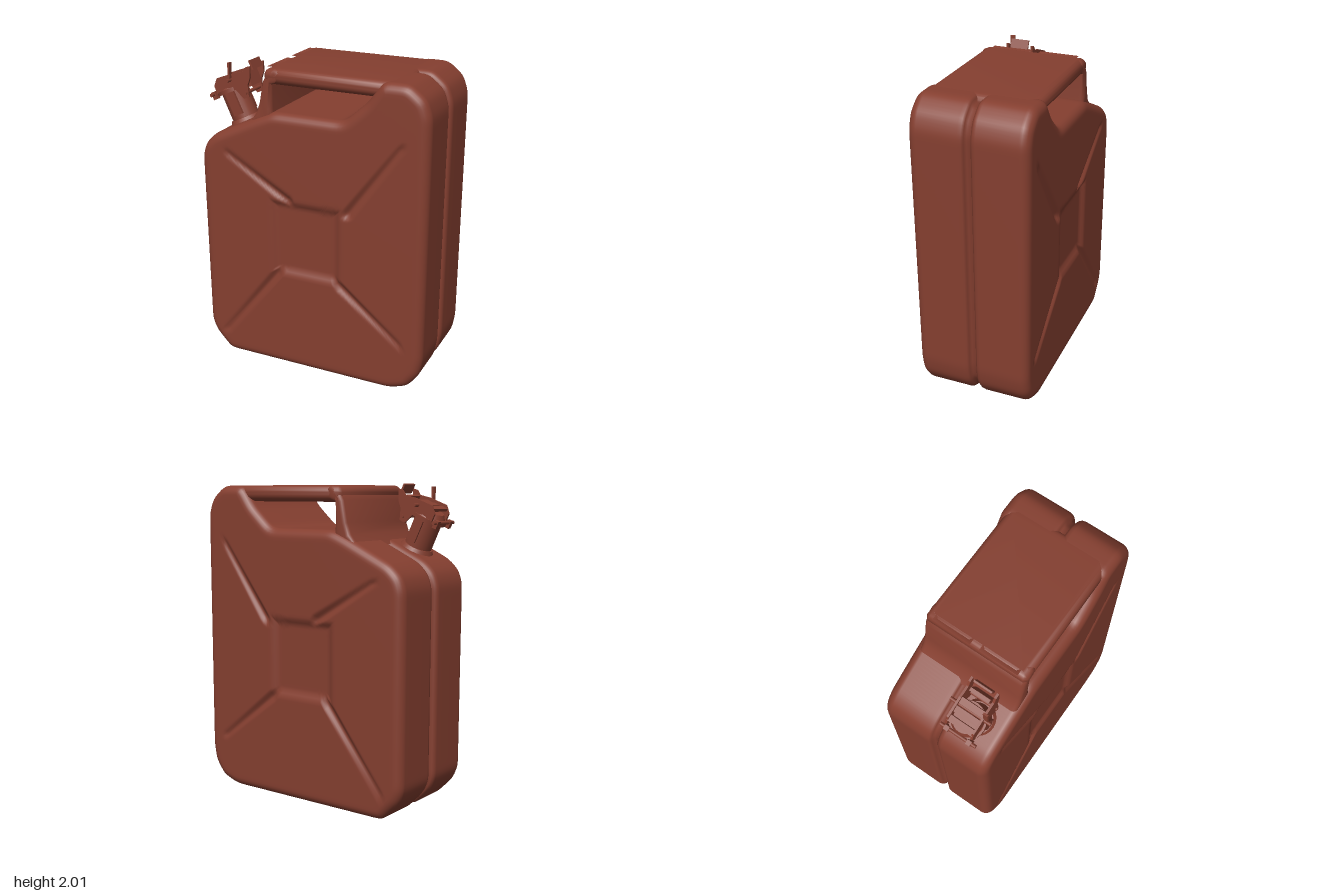
import * as THREE from 'three';
import { toCreasedNormals } from 'three/addons/utils/BufferGeometryUtils.js';

const CENTRE = new THREE.Vector2(0, 0.93);
const shapeOf = (pts) => new THREE.Shape(pts.map(([x, y]) => new THREE.Vector2(x, y)));

// Side profile of the can, counter-clockwise
const PROFILE = [
  [-0.62, 0], [0.55, 0], [0.67, 0.04], [0.745, 0.14], [0.765, 0.25], [0.765, 1.82], [0.73, 1.92], [0.63, 2],
  [0.46, 2], [0.37, 1.87], [0.22, 1.735], [-0.25, 1.735], [-0.36, 1.69], [-0.67, 1.545], [-0.74, 1.48],
  [-0.768, 1.4], [-0.768, 0.2], [-0.735, 0.12],
];

// Pressed channels running from the centre panel to the corners
const CHANNELS = [
  [-0.14, 1.18, -0.57, 1.44], [0.26, 1.16, 0.6, 1.63], [-0.22, 0.68, -0.63, 0.16], [0.2, 0.67, 0.62, 0.34],
].map(([ax, ay, bx, by]) => [new THREE.Vector2(ax, ay), new THREE.Vector2(bx, by)]);

function pressDepth(p) {
  const qx = Math.abs(p.x + 0.03) - 0.25, qy = Math.abs(p.y - 0.925) - 0.26;
  let depth = 0.024 * (1 - THREE.MathUtils.smoothstep(Math.max(qx, qy), -0.055, 0));
  for (const [a, b] of CHANNELS) {
    const d = b.clone().sub(a);
    const t = THREE.MathUtils.clamp(p.clone().sub(a).dot(d) / d.lengthSq(), 0, 1);
    const dist = p.distanceTo(a.clone().addScaledVector(d, t));
    const k = 1 - THREE.MathUtils.smoothstep(dist, 0, 0.045 - 0.015 * t);
    depth = Math.max(depth, (0.024 - 0.012 * t) * k);
  }
  return depth;
}

// Evenly spaced outline points with softened corners
function outline(count) {
  const path = new THREE.CurvePath();
  PROFILE.forEach((p, i) => path.add(new THREE.LineCurve(
    new THREE.Vector2(...p), new THREE.Vector2(...PROFILE[(i + 1) % PROFILE.length]))));
  let pts = Array.from({ length: count }, (_, i) => path.getPoint(i / count));
  for (let n = 0; n < 3; n++) {
    pts = pts.map((p, i) => p.clone().multiplyScalar(2)
      .add(pts[(i + 1) % count]).add(pts[(i + count - 1) % count]).multiplyScalar(0.25));
  }
  return pts;
}

// Pressed side panels, rounded rims and the seam channel in one skin
function bodyGeometry() {
  const N = 300, RADIAL = 40, R = 0.06, HALF = 0.37;
  const pts = outline(N);
  const normals = pts.map((p, i) => {
    const d = pts[(i + 1) % N].clone().sub(pts[(i + N - 1) % N]).normalize();
    return new THREE.Vector2(d.y, -d.x);
  });
  const half = [];
  for (let j = 0; j <= RADIAL; j++) half.push({ t: j / RADIAL, inset: R, z: HALF, panel: true });
  for (let j = 1; j <= 6; j++) {
    const a = j / 6 * Math.PI / 2;
    half.push({ t: 1, inset: R * (1 - Math.sin(a)), z: HALF - R + R * Math.cos(a) });
  }
  for (const [inset, z] of [[0, 0.055], [0.005, 0.035], [0.016, 0.022], [0.042, 0.015]]) {
    half.push({ t: 1, inset, z, seam: true });
  }
  const rows = [...half, ...half.map((r) => ({ ...r, z: -r.z })).reverse()];
  const pos = [], index = [];
  rows.forEach((r, j) => {
    for (let i = 0; i < N; i++) {
      const noSeam = r.seam && pts[i].y > 1.67 && pts[i].x > -0.4 && pts[i].x < 0.5;
      const p = pts[i].clone().addScaledVector(normals[i], noSeam ? 0 : -r.inset);
      p.sub(CENTRE).multiplyScalar(r.t).add(CENTRE);
      pos.push(p.x, p.y, r.panel ? r.z - Math.sign(r.z) * pressDepth(p) : r.z);
      if (j < rows.length - 1) {
        const a = j * N + i, b = j * N + (i + 1) % N;
        index.push(a, a + N, b, b, a + N, b + N);
      }
    }
  });
  const geo = new THREE.BufferGeometry();
  geo.setAttribute('position', new THREE.Float32BufferAttribute(pos, 3));
  geo.setIndex(index);
  geo.computeVertexNormals();
  return geo;
}

// Extrusion centred on its depth, with a rounded edge kept inside the shape
function slab(shape, thickness, bevel) {
  const geo = new THREE.ExtrudeGeometry(shape, {
    depth: thickness - 2 * bevel, bevelEnabled: bevel > 0, bevelThickness: bevel,
    bevelSize: bevel, bevelOffset: -bevel, bevelSegments: 5,
  });
  geo.translate(0, 0, bevel - thickness / 2);
  return bevel > 0 ? toCreasedNormals(geo, 0.9) : geo;
}

export function createModel() {
  const paint = new THREE.MeshStandardMaterial({ color: 0x853f30 });
  paint.name = 'rust red paint';
  const root = new THREE.Group();
  root.name = 'fuelCan';
  const add = (parent, name, geo, x = 0, y = 0, z = 0) => {
    const mesh = new THREE.Mesh(geo, paint);
    mesh.name = name;
    mesh.position.set(x, y, z);
    parent.add(mesh);
    return mesh;
  };

  add(root, 'body', bodyGeometry());

  // Three grip bars: one rounded plate with two long openings
  const grip = shapeOf([[-0.31, -0.32], [-0.29, -0.34], [0.5, -0.34], [0.56, -0.3],
    [0.56, 0.3], [0.5, 0.34], [-0.29, 0.34], [-0.31, 0.32]]);
  for (const s of [1, -1]) {
    grip.holes.push(new THREE.Path([[-0.265, 0.075], [-0.265, 0.24], [0.22, 0.24], [0.29, 0.22], [0.33, 0.185],
      [0.33, 0.135], [0.29, 0.095], [0.22, 0.075]].map(([x, y]) => new THREE.Vector2(x, s * y))));
  }
  add(root, 'handleBars', slab(grip, 0.1, 0.045), 0, 1.95, 0).rotation.x = -Math.PI / 2;

  // Wall joining the bars to the shoulder
  const leg = shapeOf([[-0.25, 1.64], [-0.262, 1.75], [-0.262, 1.9], [-0.2, 1.92], [-0.2, 1.985], [-0.24, 2],
    [-0.29, 1.975], [-0.325, 1.91], [-0.35, 1.78], [-0.375, 1.71], [-0.43, 1.64]]);
  add(root, 'handleLeg', slab(leg, 0.68, 0.03));

  // Tilted filler neck with its clamp cap
  const spout = new THREE.Group();
  spout.name = 'spout';
  spout.position.set(-0.53, 1.61, 0.17);
  spout.rotation.z = 0.434;
  root.add(spout);
  add(spout, 'neck', new THREE.CylinderGeometry(0.085, 0.088, 0.27, 24), 0, 0.075, 0);
  add(spout, 'neckCollar', new THREE.CylinderGeometry(0.095, 0.115, 0.035, 24), 0, 0.005, 0);
  add(spout, 'lidRim', new THREE.CylinderGeometry(0.11, 0.11, 0.025, 24), 0, 0.212, 0);
  add(spout, 'lid', new THREE.CylinderGeometry(0.075, 0.1, 0.04, 24), 0, 0.24, 0);

  const cheek = shapeOf([[-0.07, 0.22], [0.07, 0.2], [0.1, 0.13], [0.14, 0.13], [0.165, 0.2], [0.2, 0.235],
    [0.23, 0.3], [0.2, 0.305], [0.17, 0.285], [0.1, 0.3], [-0.03, 0.31], [-0.07, 0.27]]);
  for (const s of [1, -1]) {
    add(spout, 'clampCheek', slab(cheek, 0.014, 0), 0, 0, s * 0.085);
    add(spout, 'latchStrap', new THREE.BoxGeometry(0.065, 0.15, 0.016), 0.015, 0.125, s * 0.086);
    add(spout, 'hingeLug', new THREE.BoxGeometry(0.03, 0.05, 0.03), -0.1, 0.215, s * 0.075);
  }
  for (const [u, v] of [[-0.03, 0.285], [0.03, 0.28], [0.085, 0.275]]) {
    add(spout, 'clampSlat', new THREE.BoxGeometry(0.04, 0.018, 0.17), u, v, 0);
  }
  add(spout, 'leverPlate', new THREE.BoxGeometry(0.022, 0.1, 0.13), 0.165, 0.235, 0);
  for (const [u, v, len] of [[-0.1, 0.225, 0.24], [0.06, 0.27, 0.27], [0.13, 0.16, 0.2]]) {
    add(spout, 'hingePin', new THREE.CylinderGeometry(0.011, 0.011, len, 10), u, v, 0).rotation.x = Math.PI / 2;
  }
  const tab = add(spout, 'lockTab', new THREE.BoxGeometry(0.012, 0.1, 0.03), 0.09, 0.325, 0.1);
  tab.rotation.z = -0.434;
  add(spout, 'leverTip', new THREE.BoxGeometry(0.012, 0.06, 0.12), 0.222, 0.305, 0);
  return root;
}
